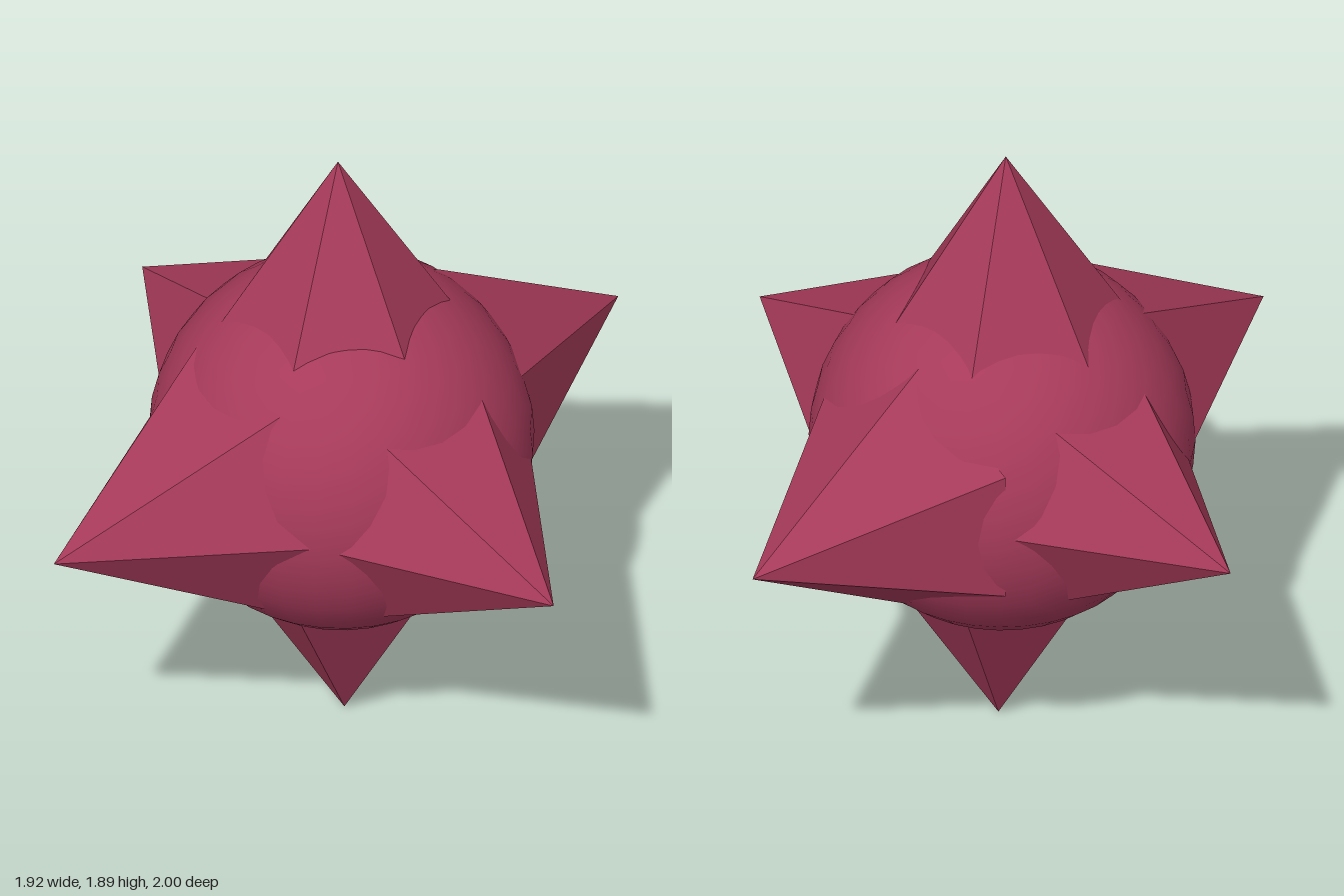
import * as THREE from 'three';

export function createModel() {
  const group = new THREE.Group();
  group.name = 'spikedBall';
  const smooth = new THREE.MeshStandardMaterial({ color: 0xa63a5a });
  const faceted = new THREE.MeshStandardMaterial({ color: 0xa63a5a, flatShading: true });

  // Round core
  const core = new THREE.Mesh(new THREE.SphereGeometry(0.54, 32, 20), smooth);
  core.name = 'core';
  core.position.set(-0.015, 0.935, 0);
  group.add(core);

  // Six-sided spikes: tip position, axis direction, direction of one ridge
  const length = 0.65;
  const geometry = new THREE.ConeGeometry(length * 0.615, length, 6, 1);
  geometry.translate(0, -length / 2, 0); // tip at the origin
  const spikes = [
    ['topSpike', [-0.03, 1.89, 0], [0, 1, 0], [1, 0, 0]],
    ['bottomSpike', [0, 0, 0], [0, -1, 0], [1, 0, 0]],
    ['leftSpike', [0.96, 0.93, -0.01], [1, 0, 0], [0, 0, 1]],
    ['rightSpike', [-0.96, 0.95, -0.015], [-1, 0, 0], [0, 0, 1]],
    ['frontSpike', [-0.018, 0.943, 1], [0, 0, 1], [1, 0, 0]],
    ['backSpike', [-0.06, 0.945, -1], [-0.02, 0, -1], [0, 1, 0]],
  ];
  for (const [name, tip, axis, ridge] of spikes) {
    const y = new THREE.Vector3(...axis).normalize();
    const z = new THREE.Vector3(...ridge);
    const x = new THREE.Vector3().crossVectors(y, z);
    const spike = new THREE.Mesh(geometry, faceted);
    spike.name = name;
    spike.quaternion.setFromRotationMatrix(new THREE.Matrix4().makeBasis(x, y, z));
    spike.position.set(...tip);
    group.add(spike);
  }
  return group;
}
